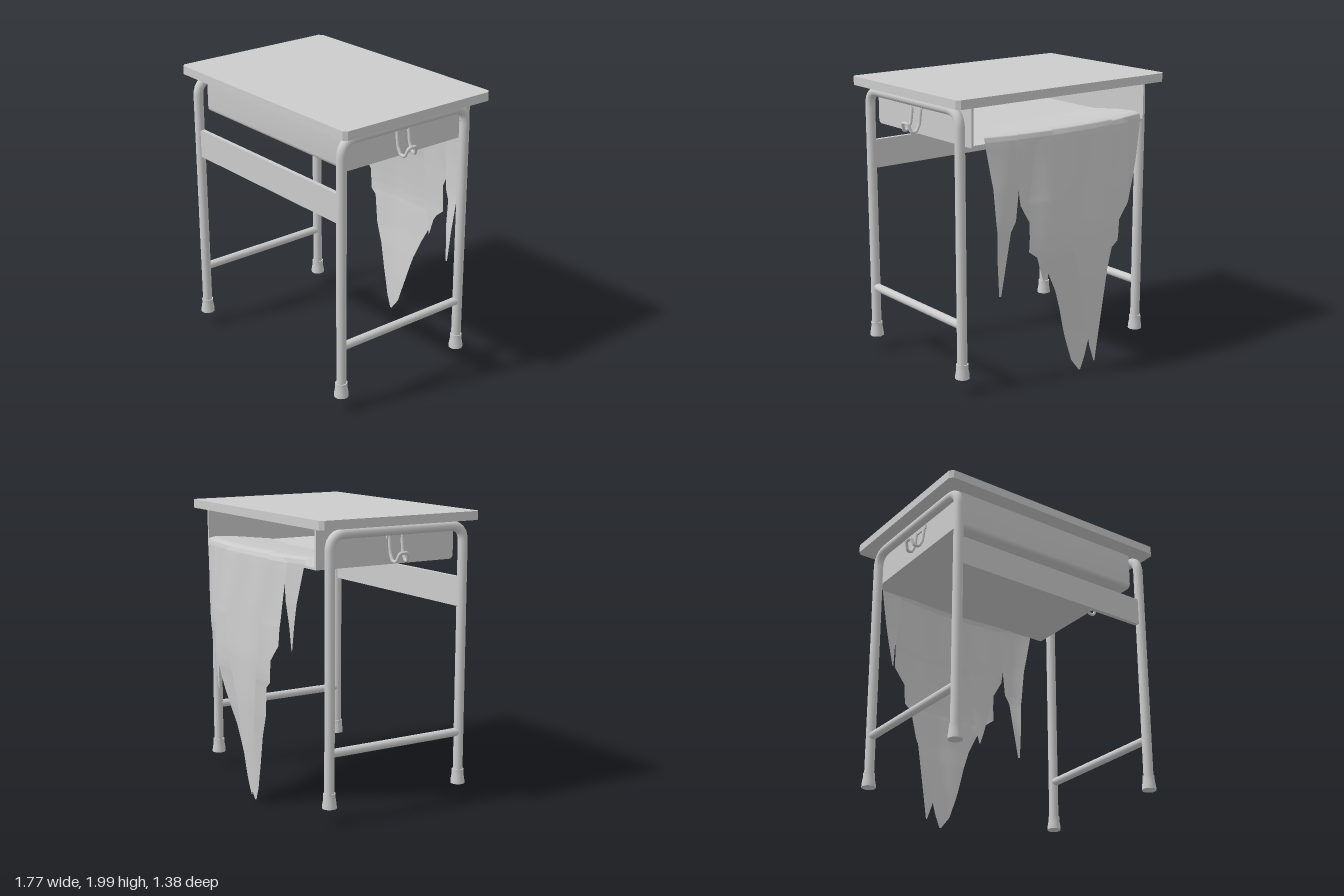
import * as THREE from 'three';
import { toCreasedNormals } from 'three/addons/utils/BufferGeometryUtils.js';

const grey = new THREE.MeshStandardMaterial({ color: 0xcccccc });
const thin = new THREE.MeshStandardMaterial({ color: 0xcccccc, side: THREE.DoubleSide });
const V = (x, y, z) => new THREE.Vector3(x, y, z);

function add(parent, name, geometry, material = grey) {
  const mesh = new THREE.Mesh(geometry, material);
  mesh.name = name;
  parent.add(mesh);
  return mesh;
}

// Extrudes outline points centred along the third axis
function slab(points, depth) {
  const shape = new THREE.Shape(points.map(([x, y]) => new THREE.Vector2(x, y)));
  const g = new THREE.ExtrudeGeometry(shape, { depth, bevelEnabled: false });
  return toCreasedNormals(g.translate(0, 0, -depth / 2), 0.7);
}

// Polyline with rounded corners, swept as a round tube
function bentTube(points, bend, radius, segments) {
  const path = new THREE.CurvePath();
  let from = points[0];
  for (let i = 1; i < points.length - 1; i++) {
    const p = points[i];
    const toward = (q) => p.clone().add(q.clone().sub(p).setLength(bend));
    const a = toward(points[i - 1]), b = toward(points[i + 1]);
    path.add(new THREE.LineCurve3(from, a));
    path.add(new THREE.QuadraticBezierCurve3(a, p, b));
    from = b;
  }
  path.add(new THREE.LineCurve3(from, points[points.length - 1]));
  return new THREE.TubeGeometry(path, segments, radius, 14, false);
}

// Draped sheet: rows of [y, left x, right x, z], bowed in plan and softly pleated
function drape(rows, lift, phase) {
  const [, l, r] = rows[0];
  const over = [[1.70, l, r, -0.1], [1.735, l, r, -0.4], [1.745, l, r, -0.56], [1.735, l, r, -0.61]];
  const all = [...over, ...rows];
  const cols = 20, steps = 5;
  const pos = [], index = [];
  const total = (all.length - 1) * steps;
  for (let j = 0; j <= total; j++) {
    const k = Math.min(Math.floor(j / steps), all.length - 2);
    const t = j / steps - k;
    const [y, xl, xr, z] = all[k].map((v, n) => v + (all[k + 1][n] - v) * t);
    const hang = THREE.MathUtils.clamp((1.74 - y) * 3, 0, 1);
    for (let i = 0; i <= cols; i++) {
      const x = xl + (xr - xl) * i / cols;
      const pleat = 0.008 * hang * Math.sin(17 * x + phase + y);
      pos.push(x, y + lift * (1 - hang), z + 0.2 * x * x - lift + pleat);
    }
  }
  const w = cols + 1;
  for (let j = 0; j < total; j++) {
    for (let i = 0; i < cols; i++) {
      const a = j * w + i;
      index.push(a, a + 1, a + w, a + 1, a + w + 1, a + w);
    }
  }
  const g = new THREE.BufferGeometry();
  g.setAttribute('position', new THREE.Float32BufferAttribute(pos, 3));
  g.setIndex(index);
  g.computeVertexNormals();
  return g;
}

export function createModel() {
  const desk = new THREE.Group();
  desk.name = 'desk';

  // Table top with clipped corners
  const X = 0.885, F = 0.69, B = -0.545, c = 0.025;
  const top = slab([[-X + c, -F], [X - c, -F], [X, -F + c], [X, -B - c], [X - c, -B],
    [-X + c, -B], [-X, -B - c], [-X, -F + c]], 0.06);
  add(desk, 'tableTop', top.rotateX(-Math.PI / 2).translate(0, 1.97, 0));

  // Storage tray, open at the back
  const tray = new THREE.Group();
  tray.name = 'tray';
  desk.add(tray);
  const round = (r) => [0, 1, 2, 3, 4].map((i) => {
    const a = i * Math.PI / 8;
    return [0.545 + r * Math.sin(a), 1.705 - r * Math.cos(a)];
  });
  const shell = [[-0.495, 1.675], ...round(0.03), [0.575, 1.94], [0.56, 1.94],
    ...round(0.015).reverse(), [-0.495, 1.69]];
  add(tray, 'trayFloorAndFront', slab(shell, 1.47).rotateY(-Math.PI / 2));
  const side = [[-0.495, 1.675], ...round(0.03), [0.575, 1.94], [-0.495, 1.94]];
  for (const s of [-1, 1]) {
    add(tray, 'traySide', slab(side, 0.015).rotateY(-Math.PI / 2).translate(s * 0.738, 0, 0));
  }

  // Side frames, feet and hooks
  for (const s of [-1, 1]) {
    const frame = new THREE.Group();
    frame.name = s > 0 ? 'leftFrame' : 'rightFrame';
    desk.add(frame);
    const x = s * 0.78;
    add(frame, 'legTube', bentTube([V(x, 0.15, 0.63), V(x, 1.9, 0.63),
      V(x, 1.9, -0.415), V(x, 0.15, -0.415)], 0.11, 0.034, 160));
    const stretcher = add(frame, 'stretcher', new THREE.CylinderGeometry(0.029, 0.029, 1.045, 14));
    stretcher.rotation.x = Math.PI / 2;
    stretcher.position.set(x, 0.48, 0.1075);
    for (const z of [0.63, -0.415]) {
      const foot = new THREE.LatheGeometry([[0, 0.115], [0.049, 0.115], [0.048, 0.14],
        [0.041, 0.18], [0.041, 0.215], [0, 0.215]].map(([r, y]) => new THREE.Vector2(r, y)), 16);
      add(frame, 'foot', toCreasedNormals(foot, 0.8)).position.set(x, 0, z);
    }
    const wire = [];
    for (const [hx, y, z] of [[0.75, 1.87, 0.055], [0.765, 1.75, 0.055], [0.79, 1.70, 0.055],
      [0.825, 1.695, 0.06], [0.845, 1.755, 0.075]]) wire.push(V(s * hx, y, z));
    const back = wire.map((p) => V(p.x, p.y, 0.21 - p.z)).reverse();
    add(frame, 'bagHook', bentTube([...wire, ...back], 0.015, 0.011, 80));
    add(frame, 'hookPlate', new THREE.BoxGeometry(0.012, 0.03, 0.14)).position.set(s * 0.75, 1.86, 0.105);
  }

  // Front rail with narrowed ends
  const rail = [[-0.78, 1.365], [-0.74, 1.35], [0.74, 1.35], [0.78, 1.365],
    [0.78, 1.535], [0.74, 1.55], [-0.74, 1.55], [-0.78, 1.535]];
  add(desk, 'frontRail', slab(rail, 0.03).translate(0, 0, 0.63));

  // Ragged cloth hanging out of the tray
  const cloth = new THREE.Group();
  cloth.name = 'cloth';
  desk.add(cloth);
  add(cloth, 'mainSheet', drape([[1.70, -0.52, 0.47, -0.625], [1.33, -0.50, 0.455, -0.655],
    [1.28, -0.495, 0.45, -0.66], [1.16, -0.49, 0.385, -0.665], [1.05, -0.40, 0.385, -0.668],
    [0.96, -0.395, 0.39, -0.668], [0.90, -0.39, 0.31, -0.665], [0.86, -0.34, 0.28, -0.66],
    [0.65, -0.30, 0.17, -0.64], [0.50, -0.24, 0.11, -0.62], [0.30, -0.19, 0.05, -0.60],
    [0.10, -0.14, -0.02, -0.585], [0.01, -0.105, -0.09, -0.58]], 0, 0), thin);
  add(cloth, 'outerSheet', drape([[1.70, -0.34, 0.19, -0.625], [1.40, -0.31, 0.16, -0.65],
    [1.05, -0.29, 0.09, -0.675], [0.75, -0.26, 0.0, -0.675], [0.45, -0.22, -0.06, -0.66],
    [0.20, -0.19, -0.12, -0.645], [0.08, -0.175, -0.165, -0.64]], 0.012, 1), thin);
  add(cloth, 'innerSheet', drape([[1.70, 0.15, 0.44, -0.62], [1.30, 0.17, 0.41, -0.64],
    [1.0, 0.20, 0.34, -0.645], [0.84, 0.235, 0.295, -0.64], [0.74, 0.255, 0.262, -0.635]], 0.006, 2), thin);
  add(cloth, 'leftStrand', drape([[1.70, 0.42, 0.67, -0.62], [1.40, 0.44, 0.62, -0.625],
    [1.17, 0.46, 0.60, -0.62], [1.10, 0.495, 0.59, -0.615], [0.90, 0.51, 0.575, -0.59],
    [0.66, 0.54, 0.555, -0.575]], 0.003, 0.5), thin);
  add(cloth, 'rightStrand', drape([[1.70, -0.67, -0.48, -0.62], [1.45, -0.615, -0.50, -0.625],
    [1.30, -0.585, -0.53, -0.62], [1.13, -0.55, -0.543, -0.61]], 0.003, 1.5), thin);
  return desk;
}
